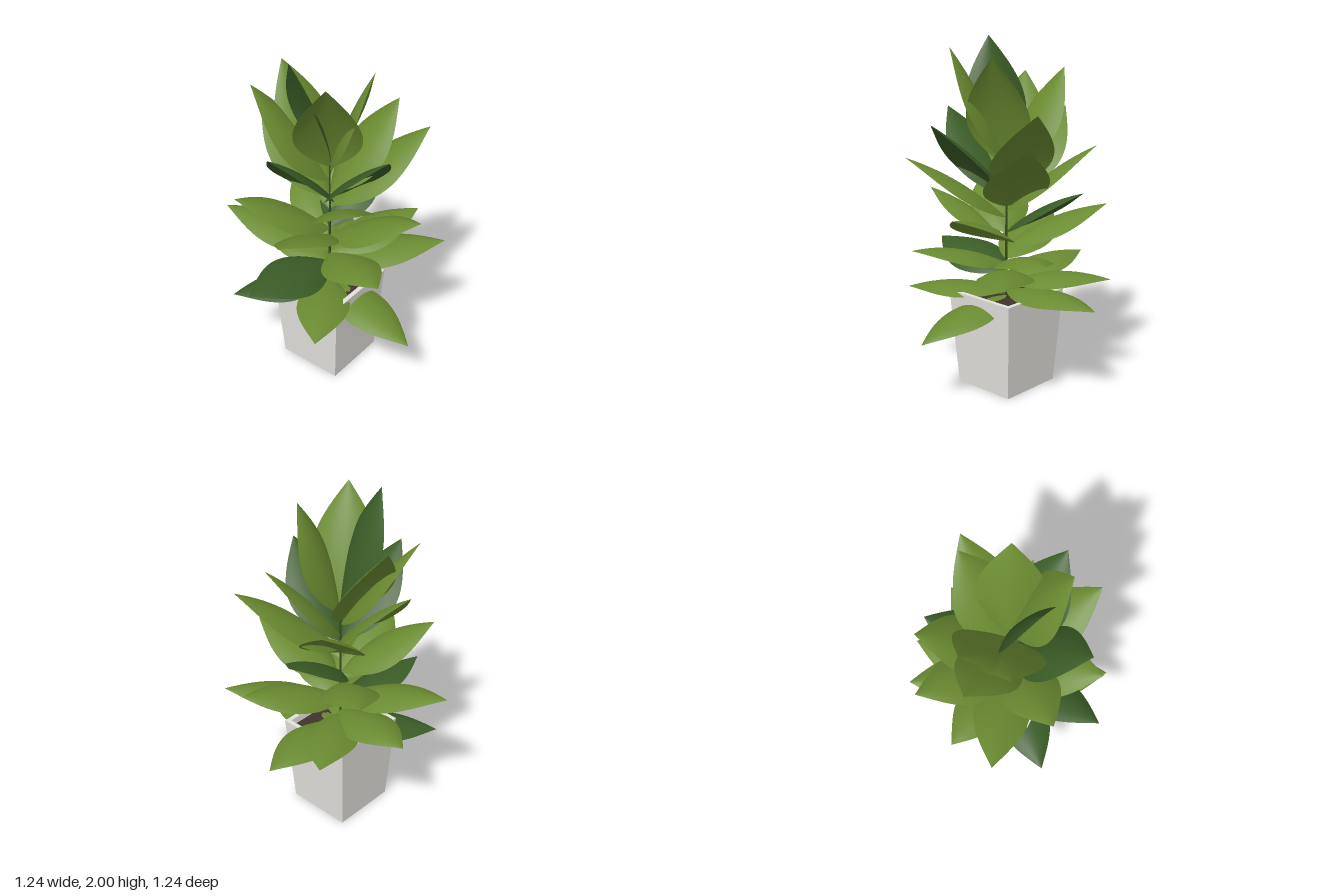
import * as THREE from 'three';

const { clamp, lerp } = THREE.MathUtils;

function makeMaterial(name, color, options = {}) {
  const m = new THREE.MeshStandardMaterial({ color, ...options });
  m.name = name;
  return m;
}

// Pointed oval blade swept from the stem to its tip; arch bows it upward, roll twists it about its length
function leafGeometry(base, tip, halfWidth, arch, roll) {
  const along = tip.clone().sub(base).normalize();
  const side = new THREE.Vector3(tip.z, 0, -tip.x).normalize().applyAxisAngle(along, roll);
  const up = along.clone().cross(side);
  const middle = base.clone().lerp(tip, 0.5).addScaledVector(up, arch * 2);
  const spine = new THREE.QuadraticBezierCurve3(base, middle, tip);

  const rows = 18, cols = 8, positions = [], indices = [];
  for (let i = 0; i <= rows; i++) {
    const t = i / rows;
    const w = halfWidth * Math.max(0, Math.sin(Math.PI * Math.pow(t, 0.88)));
    const center = spine.getPoint(t);
    for (let j = 0; j <= cols; j++) {
      const s = (j / cols) * 2 - 1;
      // Edges droop below the midrib
      const p = center.clone().addScaledVector(side, s * w).addScaledVector(up, -0.3 * s * s * w);
      positions.push(p.x, p.y, p.z);
      if (i < rows && j < cols) {
        const a = i * (cols + 1) + j, b = a + cols + 1;
        indices.push(a, b, a + 1, a + 1, b, b + 1);
      }
    }
  }
  const g = new THREE.BufferGeometry();
  g.setAttribute('position', new THREE.Float32BufferAttribute(positions, 3));
  g.setIndex(indices);
  g.computeVertexNormals();
  return g;
}

export function createModel() {
  const model = new THREE.Group();
  model.name = 'pottedPlant';
  const lightLeaf = makeMaterial('light leaf green', 0x6a8a31, { side: THREE.DoubleSide });
  const darkLeaf = makeMaterial('dark leaf green', 0x3b5c27, { side: THREE.DoubleSide });
  const potGrey = makeMaterial('pot grey', 0xe3e1dc, { flatShading: true });
  const soilBrown = makeMaterial('soil brown', 0x40342c);
  const stemGreen = makeMaterial('stem green', 0x3a4a22);
  const add = (name, geometry, material) => {
    const m = new THREE.Mesh(geometry, material);
    m.name = name;
    model.add(m);
  };

  // Square tapered pot with an open rim
  const profile = [[0, 0], [0.195, 0], [0.232, 0.565], [0.205, 0.565], [0.2, 0.5]]
    .map(([r, y]) => new THREE.Vector2(r * Math.SQRT2, y));
  add('pot', new THREE.LatheGeometry(profile, 4).rotateY(Math.PI / 4), potGrey);
  add('soil', new THREE.BoxGeometry(0.405, 0.02, 0.405).translate(0, 0.515, 0), soilBrown);

  // Central stem
  add('stem', new THREE.CylinderGeometry(0.005, 0.007, 0.84, 8).translate(0, 0.93, 0), stemGreen);

  // Leaf tips, lowest first, some with a roll; higher leaves start higher, grow wider and bow less
  const addLeaves = (name, tips, material) => tips.forEach(([x, y, z, roll = 0], i) => {
    const rise = clamp((y - 0.5) / 1.5, 0, 1);
    const base = new THREE.Vector3(0, lerp(0.53, 1.34, rise), 0);
    const halfWidth = lerp(0.15, 0.185, Math.min(1, rise * 1.3));
    const arch = lerp(0.045, 0.025, rise);
    add(name + (i + 1), leafGeometry(base, new THREE.Vector3(x, y, z), halfWidth, arch, roll), material);
  });

  addLeaves('lightLeaf', [
    [0.615, 0.38, 0.06], [0.3, 0.54, 0.51], [-0.04, 0.565, -0.62],
    [-0.32, 0.66, -0.51], [-0.56, 0.7, -0.1], [0.5, 0.78, -0.45],
    [0.515, 0.86, 0.235], [0.26, 0.87, -0.52], [-0.62, 0.9, 0.195],
    [-0.47, 1.05, -0.355], [0.54, 1.1, -0.12], [0.08, 1.1, 0.54, 0.25],
    [-0.33, 1.185, 0.425], [0.45, 1.36, 0.34], [-0.27, 1.43, -0.43],
    [0.34, 1.48, -0.47], [-0.5, 1.58, -0.01], [0.18, 1.64, -0.39],
    [-0.38, 1.78, 0.2], [-0.4, 1.82, -0.08], [0.22, 1.92, -0.1],
    [0.18, 1.95, 0.26],
  ], lightLeaf);
  addLeaves('darkLeaf', [
    [-0.4, 0.47, 0.41], [-0.075, 0.75, 0.615, -0.25], [-0.085, 1.2, -0.49],
    [-0.02, 1.58, 0.485], [0.47, 1.57, 0.11], [-0.09, 2, 0.22],
  ], darkLeaf);
  return model;
}
